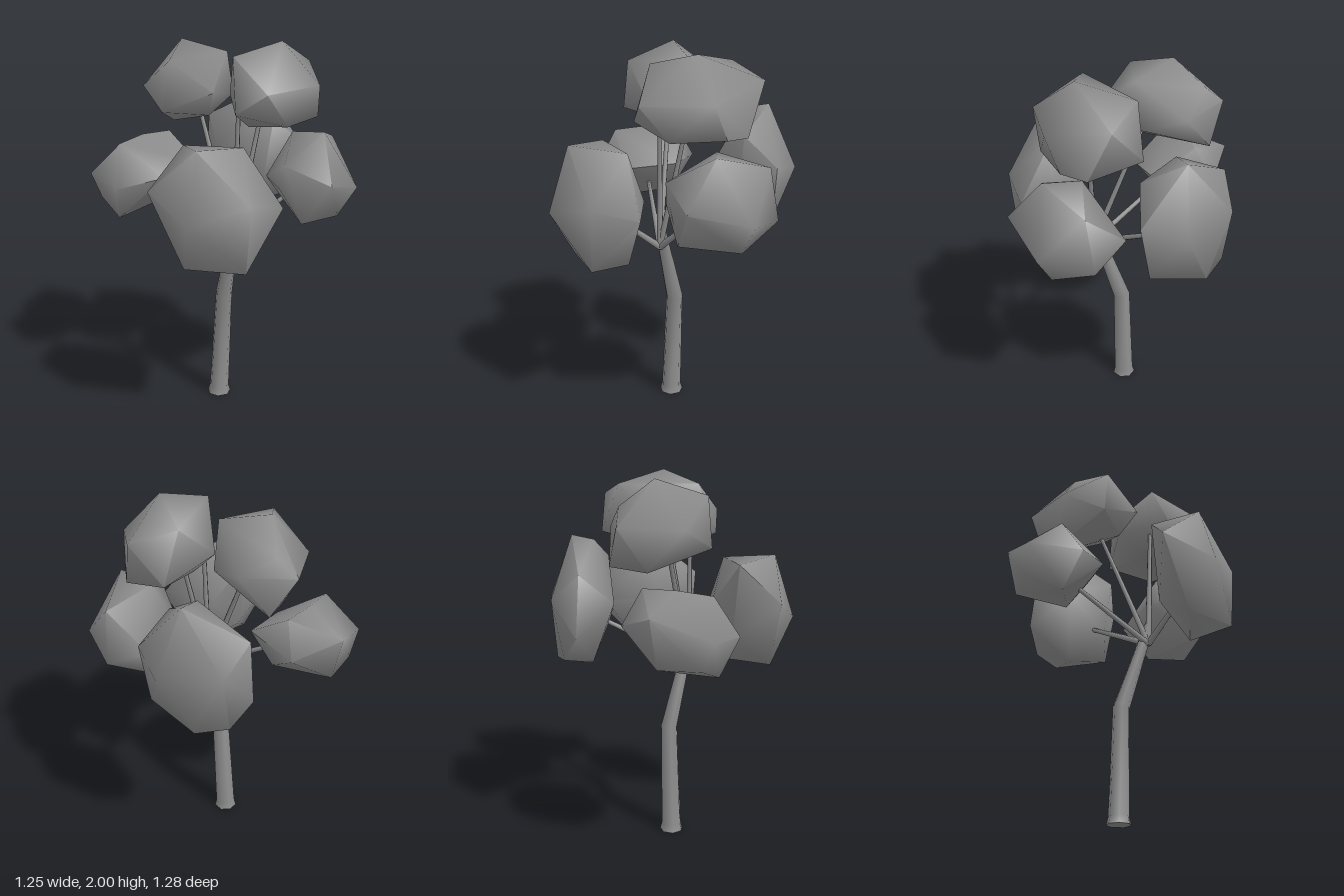
import * as THREE from 'three';
import { toCreasedNormals } from 'three/addons/utils/BufferGeometryUtils.js';
import { ConvexGeometry } from 'three/addons/geometries/ConvexGeometry.js';

const V = (p) => new THREE.Vector3(...p);

// Corner points of each faceted leaf clump
const clumps = {
  leftFrontLeaves: [
    [-0.525, 1.56, 0.3], [-0.23, 1.53, 0.33], [-0.385, 1.53, 0.08], [-0.615, 1.34, 0.065],
    [-0.63, 1.22, 0.335], [-0.395, 1.3, 0.525], [-0.155, 1.25, 0.52], [-0.15, 1.3, 0.36],
    [-0.235, 0.945, 0.33], [-0.535, 0.965, 0.22], [-0.4, 0.975, 0.5], [-0.2, 1.28, 0.2], [-0.34, 1.1, 0.13],
  ],
  frontLeaves: [
    [0.2, 1.56, 0.49], [0.46, 1.48, 0.36], [0.51, 1.2, 0.335], [0.28, 1.05, 0.26],
    [0.02, 1.12, 0.5], [-0.04, 1.42, 0.43], [0.07, 1.33, 0.64], [0.385, 1.25, 0.58],
    [0.4, 1.28, 0.14], [0.1, 1.3, 0.2], [0.2, 1.535, 0.29], [-0.04, 1.3, 0.4], [0.33, 1.09, 0.5],
  ],
  rightLeaves: [
    [0.47, 1.68, -0.135], [0.345, 1.66, -0.13], [0.31, 1.52, -0.41], [0.48, 1.38, -0.38],
    [0.32, 1.2, -0.44], [0.62, 1.35, -0.09], [0.525, 1.04, -0.24], [0.34, 1.01, -0.19],
    [0.51, 1.4, 0.11], [0.5, 1.1, 0.055], [0.195, 1.35, -0.235], [0.34, 1.55, 0.05],
    [0.42, 1.065, -0.375], [0.32, 1.2, 0],
  ],
  topFrontLeaves: [
    [0.105, 2, 0.285], [0.27, 1.935, 0.035], [0.02, 1.72, 0.015], [0.375, 1.68, 0.045],
    [0.425, 1.87, 0.215], [0.35, 1.61, 0.31], [0.19, 1.79, 0.46], [-0.165, 1.78, 0.42],
    [-0.205, 1.67, 0.255], [-0.13, 1.935, 0.17], [0, 1.57, 0.165], [0.25, 1.62, 0.41],
    [-0.02, 1.61, 0.43],
  ],
  topBackLeaves: [
    [-0.04, 1.985, -0.27], [-0.27, 1.9, -0.13], [-0.165, 1.75, 0.07], [0.07, 1.77, -0.5],
    [0.2, 1.75, -0.25], [0.13, 1.7, -0.06], [-0.3, 1.645, -0.155], [-0.23, 1.75, -0.37],
    [-0.03, 1.54, -0.35], [0.15, 1.57, -0.4], [0.05, 1.93, -0.03], [0.1, 1.86, -0.39],
    [-0.1, 1.62, -0.02],
  ],
  backLeaves: [
    [-0.2, 1.48, -0.42], [-0.44, 1.28, -0.58], [-0.145, 1.385, -0.645], [0.06, 1.3, -0.48],
    [-0.02, 1.475, -0.4], [-0.49, 1.25, -0.31], [-0.3, 1.3, -0.16], [-0.41, 1.06, -0.39],
    [-0.38, 1.135, -0.57], [-0.16, 1.13, -0.59], [-0.38, 1.46, -0.4], [-0.05, 1.15, -0.3],
    [-0.02, 1.33, -0.18],
  ],
};

// Branch tips, hidden inside the clumps
const branchTips = [
  [-0.35, 1.22, 0.3], [0.2, 1.28, 0.35], [0.4, 1.27, -0.12],
  [-0.085, 1.72, 0.17], [0.06, 1.7, 0.21], [-0.055, 1.7, -0.15], [-0.2, 1.25, -0.35],
];

// Tapered tube of stacked rings, each [x, y, z, radius], closed at both ends
function taperedTube(rings, sides) {
  const pos = [], index = [];
  const centers = rings.map(V);
  rings.forEach((r, i) => {
    const dir = centers[Math.min(i + 1, rings.length - 1)].clone()
      .sub(centers[Math.max(i - 1, 0)]).normalize();
    if (i === 0 && r[1] === 0) dir.set(0, 1, 0);
    const turn = new THREE.Quaternion().setFromUnitVectors(new THREE.Vector3(0, 1, 0), dir);
    for (let s = 0; s < sides; s++) {
      const a = (s / sides) * Math.PI * 2;
      const p = new THREE.Vector3(Math.sin(a) * r[3], 0, Math.cos(a) * r[3])
        .applyQuaternion(turn).add(centers[i]);
      pos.push(p.x, p.y, p.z);
      if (i === 0) continue;
      const n = (s + 1) % sides, lo = (i - 1) * sides, hi = i * sides;
      index.push(lo + s, lo + n, hi + n, lo + s, hi + n, hi + s);
    }
  });
  const top = (rings.length - 1) * sides;
  for (let s = 1; s < sides - 1; s++) {
    index.push(0, s + 1, s, top, top + s, top + s + 1);
  }
  const geo = new THREE.BufferGeometry();
  geo.setAttribute('position', new THREE.Float32BufferAttribute(pos, 3));
  geo.setIndex(index);
  return toCreasedNormals(geo, 1.1);
}

export function createModel() {
  const tree = new THREE.Group();
  tree.name = 'tree';
  const grey = new THREE.MeshStandardMaterial({ color: 0x8c8c8c });
  grey.name = 'grey';

  const add = (name, geo) => {
    const mesh = new THREE.Mesh(geo, grey);
    mesh.name = name;
    tree.add(mesh);
  };

  // Bent trunk with a slightly flared foot
  add('trunk', taperedTube([
    [-0.042, 0, -0.008, 0.065], [-0.042, 0.04, -0.007, 0.055],
    [-0.022, 0.62, 0.012, 0.046], [-0.072, 0.96, 0.115, 0.032], [-0.085, 1.08, 0.145, 0.022],
  ], 7));

  // Thin branches fanning out from the trunk top
  branchTips.forEach(([x, y, z], i) => {
    add(`branch${i + 1}`, taperedTube([
      [-0.09, 0.97, 0.145, 0.018], [x, y, z, 0.011],
    ], 6));
  });

  // Leaf clumps
  for (const [name, points] of Object.entries(clumps)) {
    add(name, toCreasedNormals(new ConvexGeometry(points.map(V)), 1.4));
  }
  return tree;
}
